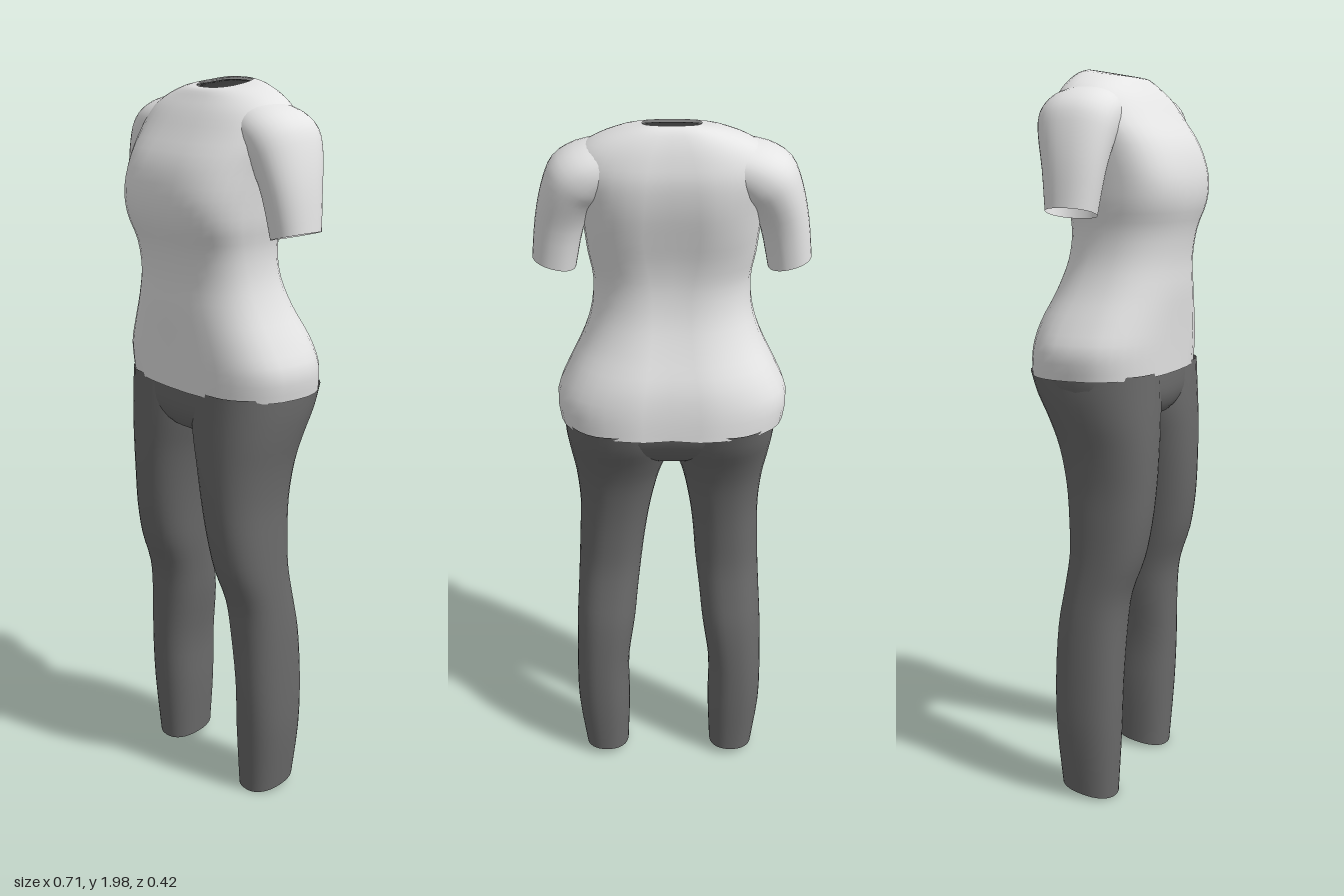
import * as THREE from 'three';

const shirtMat = new THREE.MeshStandardMaterial({ name: 'pale shirt', color: 0xe4e4e4, side: THREE.DoubleSide });
const trouserMat = new THREE.MeshStandardMaterial({ name: 'dark grey cloth', color: 0x6a6a6a, side: THREE.DoubleSide });

// Catmull-Rom blend of two neighbouring cross-sections
function blend(rings, i, t) {
  const at = (k) => rings[Math.min(Math.max(k, 0), rings.length - 1)];
  const [a, b, c, d] = [at(i - 1), at(i), at(i + 1), at(i + 2)];
  return b.map((_, k) => 0.5 * (2 * b[k] + (c[k] - a[k]) * t
    + (2 * a[k] - 5 * b[k] + 4 * c[k] - d[k]) * t * t
    + (3 * b[k] - a[k] - 3 * c[k] + d[k]) * t * t * t));
}

// Tube of cloth through superellipse rings, listed from the bottom up.
// ring: [x1, y1, x2, y2, zFront, zBack, power, tilt]; groove dents the mid back
function loft(name, rings, material, groove = 0, sides = 36, steps = 3) {
  const sections = [];
  for (let i = 0; i < rings.length - 1; i++)
    for (let s = 0; s < steps; s++) sections.push(blend(rings, i, s / steps));
  sections.push(rings[rings.length - 1]);
  const pos = [], index = [];
  sections.forEach(([x1, y1, x2, y2, zf, zb, power, tilt], r) => {
    for (let j = 0; j < sides; j++) {
      const a = (j / sides) * Math.PI * 2, c = Math.cos(a), s = Math.sin(a);
      const u = Math.sign(c) * Math.abs(c) ** (2 / power);
      const v = Math.sign(s) * Math.abs(s) ** (2 / power);
      const x = (x1 + x2) / 2 + u * (x2 - x1) / 2;
      let dz = v * (zf - zb) / 2;
      if (v < 0) dz *= 1 - groove * Math.exp(-((x / 0.05) ** 2));
      pos.push(x, (y1 + y2) / 2 + u * (y2 - y1) / 2 + tilt * dz, (zf + zb) / 2 + dz);
      if (r < sections.length - 1) {
        const p = r * sides + j, q = r * sides + (j + 1) % sides;
        index.push(p, p + sides, q, q, p + sides, q + sides);
      }
    }
  });
  const geo = new THREE.BufferGeometry();
  geo.setAttribute('position', new THREE.Float32BufferAttribute(pos, 3));
  geo.setIndex(index);
  geo.computeVertexNormals();
  const mesh = new THREE.Mesh(geo, material);
  mesh.name = name;
  return mesh;
}

// Symmetric ring: [y, halfWidth, zFront, zBack, power, tilt]
const centred = ([y, w, zf, zb, power = 2.4, tilt = 0]) => [-w, y, w, y, zf, zb, power, tilt];
// Ring carried over to the other side of the body
const mirrored = ([x1, y1, x2, y2, ...rest]) => [-x2, y2, -x1, y1, ...rest];

export function createModel() {
  const model = new THREE.Group();
  model.name = 'shirtAndTrousers';

  // Shirt body from hem to neckline
  const body = [
    [1.2, 0.298, 0.165, -0.207, 2.5],
    [1.27, 0.305, 0.168, -0.202, 2.5],
    [1.34, 0.275, 0.172, -0.187, 2.5],
    [1.42, 0.235, 0.177, -0.152],
    [1.5, 0.21, 0.178, -0.122],
    [1.58, 0.206, 0.19, -0.11, 2.5],
    [1.65, 0.218, 0.211, -0.115, 2.8],
    [1.72, 0.225, 0.212, -0.13, 3],
    [1.8, 0.235, 0.187, -0.147, 2.8],
    [1.87, 0.25, 0.14, -0.151, 2.5],
    [1.92, 0.235, 0.105, -0.14],
    [1.955, 0.19, 0.08, -0.125, 2.3, -0.05],
    [1.98, 0.125, 0.06, -0.107, 2.3, -0.1],
    [1.988, 0.073, 0.043, -0.088, 2.5, -0.17],
  ];
  model.add(loft('shirtBody', body.map(centred), shirtMat, 0.07));

  // Dark inside of the neckline
  const lining = body.slice(-5).map(([y, w, zf, zb, p, t]) =>
    centred([y - 0.006, w - 0.006, zf - 0.006, zb + 0.006, p, t]));
  model.add(loft('neckLining', lining, trouserMat, 0.07));

  // Short sleeves, cuff to shoulder
  const sleeve = [
    [0.245, 1.615, 0.356, 1.645, 0.06, -0.075, 2.2, 0],
    [0.222, 1.72, 0.345, 1.745, 0.074, -0.09, 2.2, 0],
    [0.19, 1.785, 0.325, 1.835, 0.085, -0.113, 2.2, 0],
    [0.165, 1.8, 0.297, 1.9, 0.09, -0.125, 2.2, 0],
    [0.145, 1.82, 0.24, 1.936, 0.088, -0.125, 2.2, 0],
    [0.12, 1.83, 0.165, 1.952, 0.075, -0.115, 2.2, 0],
  ];
  model.add(loft('leftSleeve', sleeve, shirtMat));
  model.add(loft('rightSleeve', sleeve.map(mirrored), shirtMat));

  // Trouser seat, closing at the crotch
  const seat = [
    [1.06, 0.02, 0.06, -0.05, 2],
    [1.085, 0.12, 0.125, -0.105],
    [1.13, 0.25, 0.152, -0.155],
    [1.18, 0.28, 0.156, -0.185],
    [1.23, 0.284, 0.153, -0.195],
  ];
  model.add(loft('trouserSeat', seat.map(centred), trouserMat, 0.05));

  // Trouser legs, hem to hip: [y, inner, outer, zFront, zBack, tilt]
  const legs = [
    [0.027, 0.137, 0.266, 0.062, -0.095, -0.17],
    [0.2, 0.13, 0.285, 0.074, -0.107, 0],
    [0.35, 0.13, 0.286, 0.08, -0.11, 0],
    [0.5, 0.11, 0.281, 0.085, -0.105, 0],
    [0.6, 0.1, 0.275, 0.096, -0.09, 0],
    [0.7, 0.088, 0.27, 0.13, -0.077, 0],
    [0.8, 0.075, 0.265, 0.149, -0.08, 0],
    [0.9, 0.058, 0.261, 0.158, -0.09, 0],
    [1.0, 0.034, 0.268, 0.161, -0.11, 0],
    [1.08, 0.006, 0.28, 0.16, -0.14, 0],
    [1.15, -0.01, 0.288, 0.157, -0.175, 0],
    [1.21, -0.01, 0.29, 0.154, -0.195, 0],
  ].map(([y, xi, xo, zf, zb, tilt]) => [xi, y, xo, y, zf, zb, 2.3, tilt]);
  // The right leg stands slightly closer to the middle
  const rightLegs = legs.map(mirrored).map(([x1, y1, x2, y2, ...rest]) => {
    const shift = 0.02 * Math.min(1, Math.max(0, (1.1 - y1) / 0.4));
    return [x1 + 0.012 + shift * 0.4, y1, x2 + shift, y2, ...rest];
  });
  model.add(loft('leftTrouserLeg', legs, trouserMat));
  model.add(loft('rightTrouserLeg', rightLegs, trouserMat));

  return model;
}
